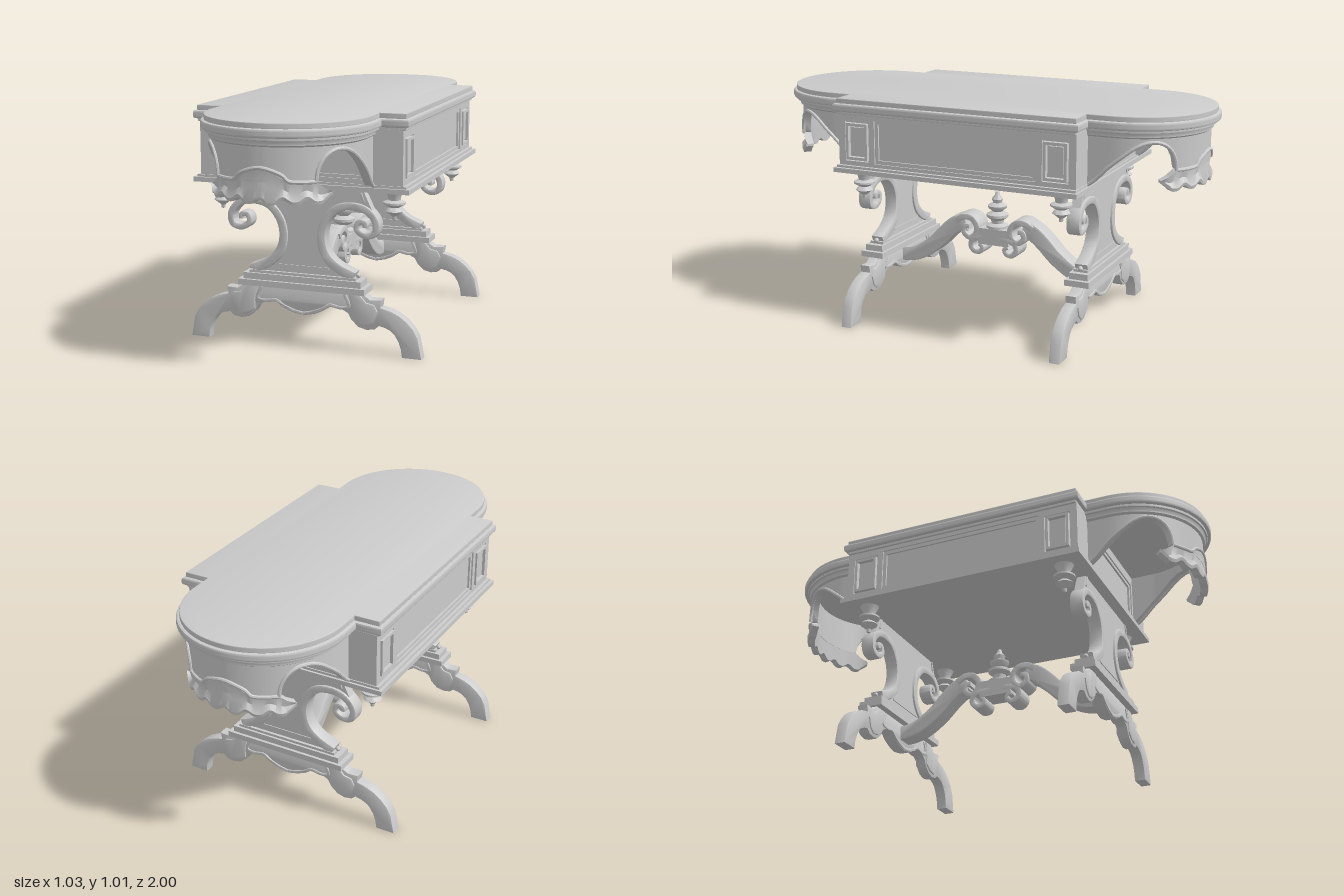
import * as THREE from 'three';
import { toCreasedNormals } from 'three/addons/utils/BufferGeometryUtils.js';

const material = new THREE.MeshStandardMaterial({ color: 0xcccccc });
const V2 = (p) => new THREE.Vector2(p[0], p[1]);
const flip = (pts) => pts.map(([x, y]) => [-x, y]);
const mirrored = (half) => [...half, ...flip(half).reverse()];

function add(parent, name, geo, x = 0, y = 0, z = 0) {
  const mesh = new THREE.Mesh(toCreasedNormals(geo, 0.7), material);
  mesh.name = name;
  mesh.position.set(x, y, z);
  parent.add(mesh);
  return mesh;
}
const box = (parent, name, w, h, d, x, y, z) => add(parent, name, new THREE.BoxGeometry(w, h, d), x, y, z);

// Flat outline with thickness, centred on z = 0, optionally with softened edges
function slab(pts, depth, bevel = 0, holes = []) {
  const shape = new THREE.Shape(pts.map(V2));
  holes.forEach((h) => shape.holes.push(new THREE.Path(h.map(V2))));
  const geo = new THREE.ExtrudeGeometry(shape, {
    depth: depth - 2 * bevel, bevelEnabled: bevel > 0, bevelThickness: bevel,
    bevelSize: bevel, bevelOffset: -bevel, bevelSegments: 2,
  });
  return geo.translate(0, 0, -(depth - 2 * bevel) / 2);
}
const rect = (x0, x1, y0, y1) => [[x0, y0], [x1, y0], [x1, y1], [x0, y1]];

// Tapering ribbon that follows a curve in the plane
function ribbon(points, w0, w1, depth, bevel = 0.004, steps = 48) {
  const curve = new THREE.SplineCurve(points.map(V2));
  const one = [], two = [];
  for (let i = 0; i <= steps; i++) {
    const t = i / steps, p = curve.getPoint(t), d = curve.getTangent(t);
    const w = THREE.MathUtils.lerp(w0, w1, t) / 2;
    one.push([p.x - d.y * w, p.y + d.x * w]);
    two.push([p.x + d.y * w, p.y - d.x * w]);
  }
  return slab([...one, ...two.reverse()], depth, bevel);
}

// Closed rings of points joined into a capped solid
function loft(rings) {
  const out = [], n = rings[0].length;
  const tri = (...p) => p.forEach((v) => out.push(v.x, v.y, v.z));
  for (let i = 0; i + 1 < rings.length; i++) {
    const a = rings[i], b = rings[i + 1];
    for (let j = 0; j < n; j++) {
      const k = (j + 1) % n;
      tri(a[j], b[j], b[k]);
      tri(a[j], b[k], a[k]);
    }
  }
  const s = rings[0], e = rings[rings.length - 1];
  for (let j = 1; j + 1 < n; j++) {
    tri(s[0], s[j], s[j + 1]);
    tri(e[0], e[j + 1], e[j]);
  }
  return new THREE.BufferGeometry().setAttribute('position', new THREE.Float32BufferAttribute(out, 3));
}

// Plan of the top: rectangle with a rounded bay at either end
function plan(inset) {
  const w = 0.465 - inset, d = 0.565 - inset, r = 0.355 - inset, q = [[w, -d], [w, d]];
  const bay = [[r, d]];
  for (let i = 0; i <= 40; i++) {
    const a = (i / 40) * Math.PI;
    bay.push([r * Math.cos(a), 0.645 + r * Math.sin(a)]);
  }
  bay.push([-r, d]);
  const front = [[w, d], ...bay, [-w, d]];
  return [...front, ...front.map(([x, z]) => [-x, -z])];
}

// Position on the bay wall: u is the distance round from its centre
const R = 0.315, QUARTER = R * Math.PI / 2, U_END = QUARTER + 0.1;
function onBay(u, y, r = R) {
  const s = Math.sign(u), a = Math.abs(u);
  if (a > QUARTER) return new THREE.Vector3(s * r, y, 0.645 - (a - QUARTER));
  return new THREE.Vector3(r * Math.sin(u / R), y, 0.645 + r * Math.cos(u / R));
}
function along(table, u) {
  const a = Math.abs(u);
  let i = 1;
  while (i < table.length - 1 && table[i][0] < a) i++;
  const [p, q] = [table[i - 1], table[i]];
  return THREE.MathUtils.mapLinear(Math.min(a, q[0]), p[0], q[0], p[1], q[1]);
}
function bayWall(reach, steps, section) {
  const rings = [];
  for (let i = 0; i <= steps; i++) {
    const u = reach * (2 * i / steps - 1);
    rings.push(section(u).map(([y, r]) => onBay(u, y, r)));
  }
  return loft(rings);
}
function bayBead(points, radius) {
  const curve = new THREE.CatmullRomCurve3(points.map(([u, y]) => onBay(u, y, R + 0.003)));
  return new THREE.TubeGeometry(curve, 56, radius, 8);
}
const turned = (pts, sides = 20) => new THREE.LatheGeometry(pts.map(V2), sides);

function bay() {
  const g = new THREE.Group();
  g.name = 'bay';
  const arch = [[0.217, 0.785], [0.224, 0.83], [0.25, 0.875], [0.29, 0.9], [0.34, 0.902],
    [0.39, 0.882], [0.44, 0.845], [0.5, 0.795], [0.56, 0.735], [U_END, 0.71]];
  const lower = [[0, 0.785], ...arch];
  add(g, 'bayApron', bayWall(U_END, 120, (u) => {
    const b = along(lower, u);
    return [[b, R], [0.95, R], [0.95, R - 0.03], [b, R - 0.03]];
  }));
  add(g, 'apronCornice', bayWall(U_END, 80, () =>
    [[0.918, R], [0.925, R + 0.01], [0.935, R + 0.01], [0.95, R + 0.02], [0.95, R - 0.01], [0.918, R - 0.01]]));
  for (const s of [1, -1]) add(g, 'archBead', bayBead(arch.map(([u, y]) => [s * u, y]), 0.008));
  const crest = [[0.217, 0.785], [0.15, 0.785], [0.11, 0.79], [0.09, 0.81], [0.05, 0.828], [0, 0.838]];
  add(g, 'crestBead', bayBead([...crest, ...flip(crest.slice(0, -1)).reverse()], 0.008));

  // Scalloped drape hanging under the apron
  const top = [[0, 0.835], [0.05, 0.825], [0.1, 0.79], [0.215, 0.785], [0.25, 0.76], [0.285, 0.745]];
  const hem = (u) => Math.abs(u) > 0.245
    ? THREE.MathUtils.mapLinear(Math.abs(u), 0.245, 0.285, 0.706, 0.735)
    : 0.698 + 0.02 * Math.abs(Math.cos(u * Math.PI / 0.09)) ** 3;
  add(g, 'drape', bayWall(0.285, 112, (u) => {
    const t = along(top, u), b = hem(u), m = (t + b) / 2;
    return [[b, R + 0.008], [b + 0.014, R + 0.012], [m, R - 0.003], [t, R + 0.003], [t, R - 0.03], [b, R - 0.025]];
  }));
  return g;
}

function trestle() {
  const g = new THREE.Group();
  g.name = 'trestle';
  g.position.z = 0.497;
  // Waisted panel with scrolled C-shaped borders
  const waist = [[0.26, 0.695], [0.305, 0.6], [0.28, 0.605], [0.22, 0.62], [0.15, 0.605], [0.1, 0.55],
    [0.083, 0.48], [0.1, 0.41], [0.15, 0.36], [0.225, 0.318]];
  add(g, 'trestlePanel', slab(mirrored(waist), 0.04));
  const scroll = [[0.225, 0.325], [0.15, 0.36], [0.1, 0.41], [0.083, 0.48], [0.1, 0.55], [0.15, 0.605],
    [0.22, 0.62], [0.28, 0.605], [0.318, 0.56], [0.312, 0.513], [0.27, 0.502], [0.237, 0.525],
    [0.245, 0.556], [0.272, 0.555], [0.272, 0.535]];
  for (const s of [1, -1]) {
    const side = (pts) => (s > 0 ? pts : flip(pts));
    add(g, 'cScroll', ribbon(side(scroll), 0.042, 0.02, 0.06, 0.006, 80));
    add(g, 'panelEdge', ribbon(side([[0.25, 0.69], [0.265, 0.64]]), 0.01, 0.01, 0.05, 0.002, 2));
    add(g, 'button', new THREE.SphereGeometry(0.011, 12, 8), s * 0.237, 0.327, 0);
    // Raised shield on each knee
    add(g, 'kneeShield', slab(side([[0.2, 0.255], [0.215, 0.19], [0.215, 0.15], [0.25, 0.125], [0.29, 0.12],
      [0.315, 0.14], [0.33, 0.185], [0.315, 0.215], [0.28, 0.222], [0.25, 0.255]]), 0.062, 0.006));
    add(g, 'skirtBead', ribbon(side([[0.185, 0.25], [0.205, 0.2], [0.167, 0.19], [0.12, 0.196],
      [0.085, 0.175], [0.04, 0.158], [0, 0.15]]), 0.014, 0.014, 0.06, 0.003));
    add(g, 'dropFinial', turned([[0, 0.563], [0.008, 0.565], [0.01, 0.58], [0.025, 0.592], [0.038, 0.602],
      [0.03, 0.612], [0.022, 0.618], [0.046, 0.632], [0.046, 0.64], [0.025, 0.648], [0.028, 0.665],
      [0.042, 0.69], [0, 0.69]]), s * 0.38, 0, -0.032);
  }
  box(g, 'panelBead', 0.23, 0.008, 0.048, 0, 0.35, 0);
  // Stepped sill
  box(g, 'sillBase', 0.56, 0.026, 0.11, 0, 0.27, 0);
  box(g, 'sillMiddle', 0.52, 0.028, 0.085, 0, 0.296, 0);
  box(g, 'sillTop', 0.47, 0.012, 0.065, 0, 0.315, 0);
  // Skirt and splayed legs in one outline
  add(g, 'legs', slab(mirrored([[0.26, 0.26], [0.295, 0.235], [0.345, 0.237], [0.34, 0.205], [0.383, 0.195],
    [0.42, 0.178], [0.453, 0.155], [0.48, 0.125], [0.5, 0.09], [0.517, 0], [0.433, 0], [0.428, 0.035],
    [0.417, 0.067], [0.4, 0.095], [0.383, 0.11], [0.36, 0.12], [0.333, 0.126], [0.315, 0.11], [0.28, 0.104],
    [0.245, 0.113], [0.215, 0.14], [0.2, 0.168], [0.167, 0.185], [0.12, 0.188], [0.085, 0.165],
    [0.05, 0.15], [0.001, 0.14]]), 0.05, 0.005));
  return g;
}

// Half of the stretcher: an S-curve ending in two curls
function stretcherArm() {
  const g = new THREE.Group();
  g.name = 'stretcherArm';
  const turn = (geo) => geo.rotateY(-Math.PI / 2);
  add(g, 'stretcherRail', turn(ribbon([[0.49, 0.213], [0.43, 0.218], [0.37, 0.24], [0.3, 0.29], [0.24, 0.35],
    [0.19, 0.39], [0.14, 0.405]], 0.065, 0.08, 0.085, 0.008)));
  add(g, 'upperCurl', turn(ribbon([[0.19, 0.41], [0.15, 0.432], [0.11, 0.428], [0.083, 0.395], [0.09, 0.355],
    [0.12, 0.338], [0.148, 0.358], [0.145, 0.388], [0.12, 0.39]], 0.03, 0.022, 0.1)));
  add(g, 'lowerCurl', turn(ribbon([[0.02, 0.34], [0.06, 0.345], [0.1, 0.335], [0.113, 0.302], [0.095, 0.277],
    [0.066, 0.278], [0.055, 0.3], [0.072, 0.313]], 0.03, 0.018, 0.1)));
  return g;
}

export function createModel() {
  const model = new THREE.Group();
  model.name = 'table';

  // Moulded top: [bottom, top, inset, bevel]
  [[0.988, 1.012, 0.014, 0.004], [0.955, 0.99, 0, 0.01], [0.943, 0.957, 0.016, 0.003]].forEach(([y0, y1, inset, bevel]) =>
    add(model, 'tableTop', slab(plan(inset), y1 - y0, bevel).rotateX(Math.PI / 2), 0, (y0 + y1) / 2, 0));

  // Case with framed, recessed panels
  box(model, 'caseBody', 0.85, 0.24, 1.07, 0, 0.825, 0);
  box(model, 'caseFoot', 0.94, 0.02, 1.13, 0, 0.7, 0);
  box(model, 'caseFootStep', 0.91, 0.012, 1.11, 0, 0.714, 0);
  const small = (s) => rect(s * 0.46 - 0.058, s * 0.46 + 0.058, 0.74, 0.912);
  const rim = (x0, x1, y0, y1, w, depth) => slab(rect(x0, x1, y0, y1), depth, 0, [rect(x0 + w, x1 - w, y0 + w, y1 - w)]);
  for (const s of [1, -1]) {
    const face = new THREE.Group();
    face.name = 'sideFace';
    face.rotation.y = s * Math.PI / 2;
    add(face, 'sideFrame', slab(rect(-0.55, 0.55, 0.71, 0.947), 0.016, 0,
      [small(1), small(-1), rect(-0.375, 0.375, 0.735, 0.925)]), 0, 0, 0.432);
    add(face, 'panelMoulding', rim(-0.375, 0.375, 0.735, 0.925, 0.016, 0.009), 0, 0, 0.429);
    for (const t of [1, -1]) {
      add(face, 'pilasterMoulding', rim(t * 0.46 - 0.052, t * 0.46 + 0.052, 0.746, 0.906, 0.012, 0.024), 0, 0, 0.434);
      box(face, 'pilasterPanel', 0.068, 0.124, 0.012, t * 0.46, 0.826, 0.43);
    }
    model.add(face);

    const end = new THREE.Group();
    end.name = 'end';
    end.rotation.y = s > 0 ? 0 : Math.PI;
    add(end, 'endFrame', slab(rect(-0.44, 0.44, 0.71, 0.947), 0.016, 0, [rect(-0.27, 0.27, 0.74, 0.9)]), 0, 0, 0.542);
    add(end, 'endMoulding', rim(-0.27, 0.27, 0.74, 0.9, 0.014, 0.01), 0, 0, 0.539);
    end.add(bay(), trestle(), stretcherArm());
    model.add(end);
  }

  // Centre of the stretcher
  box(model, 'stretcherBlock', 0.1, 0.075, 0.15, 0, 0.352, 0);
  add(model, 'stretcherFinial', turned([[0, 0.385], [0.05, 0.385], [0.05, 0.4], [0.028, 0.41], [0.03, 0.425],
    [0.05, 0.44], [0.05, 0.452], [0.024, 0.465], [0.042, 0.482], [0.044, 0.492], [0.02, 0.505],
    [0.026, 0.522], [0.012, 0.54], [0.008, 0.555], [0, 0.557]]));
  return model;
}
